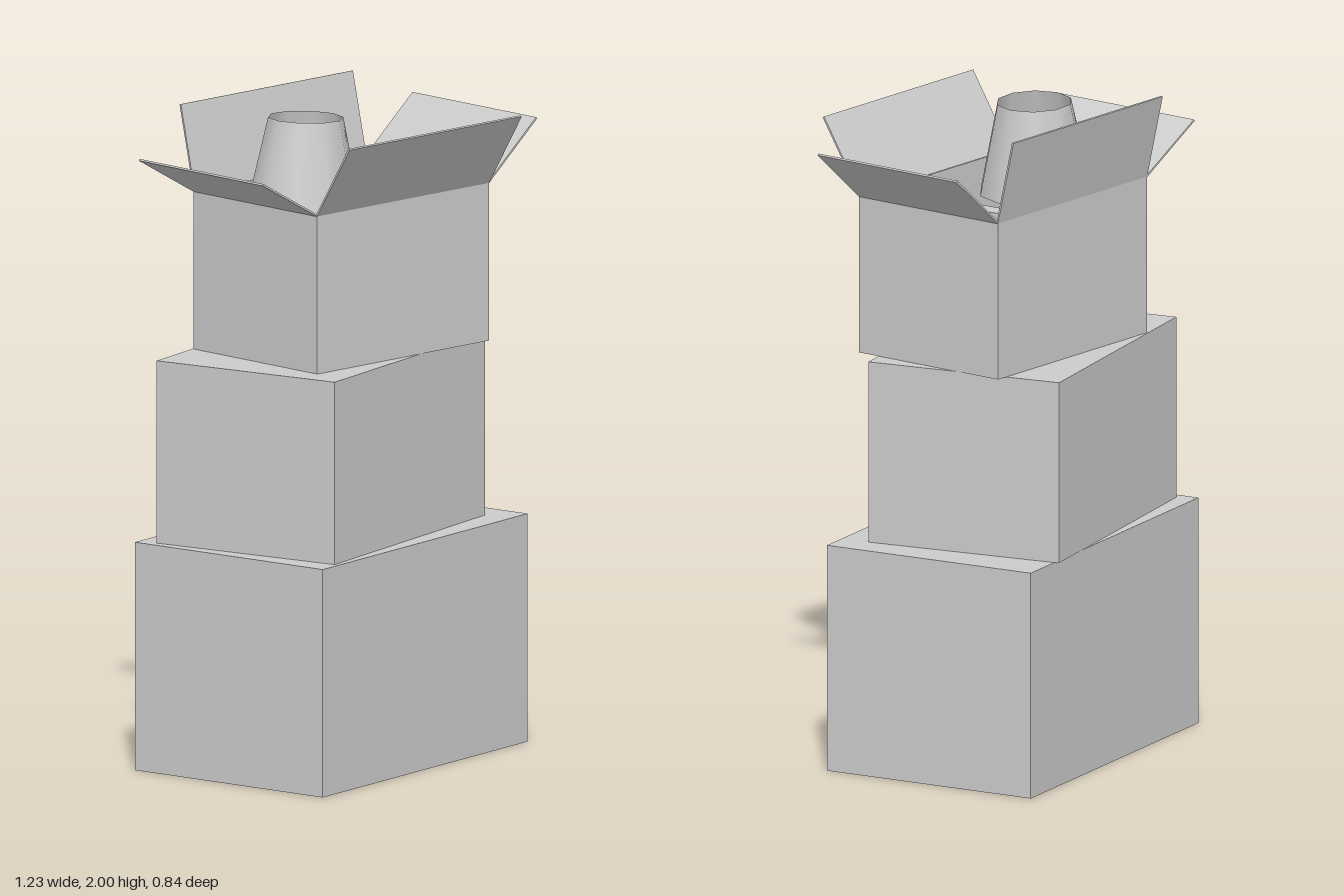
import * as THREE from 'three';

export function createModel() {
  const model = new THREE.Group();
  const card = new THREE.MeshStandardMaterial({ color: 0xcccccc, side: THREE.DoubleSide });
  card.name = 'light grey card';
  const dark = new THREE.MeshStandardMaterial({ color: 0x979797 });
  dark.name = 'dark grey inside';

  const add = (parent, name, geometry, [x, y, z], yaw = 0, material = card) => {
    const mesh = new THREE.Mesh(geometry, material);
    mesh.name = name;
    mesh.position.set(x, y, z);
    mesh.rotation.y = yaw;
    parent.add(mesh);
    return mesh;
  };

  // Two closed boxes, the upper one turned a little
  add(model, 'bottomBox', new THREE.BoxGeometry(1.045, 0.7, 0.7), [-0.0125, 0.35, -0.055]);
  add(model, 'middleBox', new THREE.BoxGeometry(0.873, 0.56, 0.627), [-0.046, 0.98, -0.07], 0.087);

  // Open box: four thin walls, each with a hinged flap
  const base = 1.26, height = 0.485, width = 0.725, depth = 0.532, t = 0.006, flapLength = 0.265;
  const openBox = new THREE.Group();
  openBox.name = 'openBox';
  openBox.position.set(0.015, base, -0.0375);
  openBox.rotation.y = -0.164;
  model.add(openBox);
  add(openBox, 'boxFloor', new THREE.BoxGeometry(width - t, t, depth - t), [0, t / 2, 0], 0, dark);

  const sides = [ // name, yaw, width, distance from centre, flap angle in degrees
    ['front', 0, width, depth / 2, 58],
    ['left', Math.PI / 2, depth, width / 2, 40],
    ['back', Math.PI, width, depth / 2, 77],
    ['right', -Math.PI / 2, depth, width / 2, 29],
  ];
  for (const [name, yaw, w, distance, angle] of sides) {
    const side = new THREE.Group();
    side.name = name + 'Side';
    side.rotation.y = yaw;
    openBox.add(side);
    add(side, name + 'Wall', new THREE.BoxGeometry(w, height, t), [0, height / 2, distance - t / 2]);
    const flap = new THREE.BoxGeometry(w, t, flapLength).translate(0, 0, flapLength / 2);
    add(side, name + 'Flap', flap, [0, height, distance - t / 2])
      .rotation.x = -THREE.MathUtils.degToRad(angle);
  }

  // Row of books standing in the box: x, z, thickness, length, top, yaw
  const books = [
    [0.046, 0.052, 0.057, 0.285, 1.68, -0.126],
    [0.103, 0.089, 0.048, 0.267, 1.65, -0.155],
    [0.147, 0.097, 0.034, 0.231, 1.62, -0.2],
    [0.204, 0.094, 0.063, 0.292, 1.68, -0.124],
    [0.263, 0.099, 0.037, 0.254, 1.64, -0.167],
    [0.314, 0.12, 0.052, 0.275, 1.66, -0.178],
  ];
  for (const [x, z, thickness, length, top, yaw] of books) {
    const h = top - base - t;
    add(model, 'book', new THREE.BoxGeometry(thickness, h, length), [x, top - h / 2, z], yaw);
  }

  // Lamp: turned foot with a slim neck, under a slightly tilted open shade
  const profile = [
    [0, 0], [0.15, 0], [0.15, 0.03], [0.11, 0.04], [0.1, 0.14], [0.075, 0.26],
    [0.03, 0.38], [0.02, 0.42], [0.02, 0.47], [0, 0.475],
  ].map(([r, y]) => new THREE.Vector2(r, y));
  add(model, 'lampBase', new THREE.LatheGeometry(profile, 10), [-0.14, base + t, -0.065], 0.164);
  const shade = new THREE.CylinderGeometry(0.115, 0.175, 0.28, 10, 1, true).rotateY(0.164);
  add(model, 'lampShade', shade, [-0.136, 1.84, -0.064]).rotation.z = -0.04;

  return model;
}
